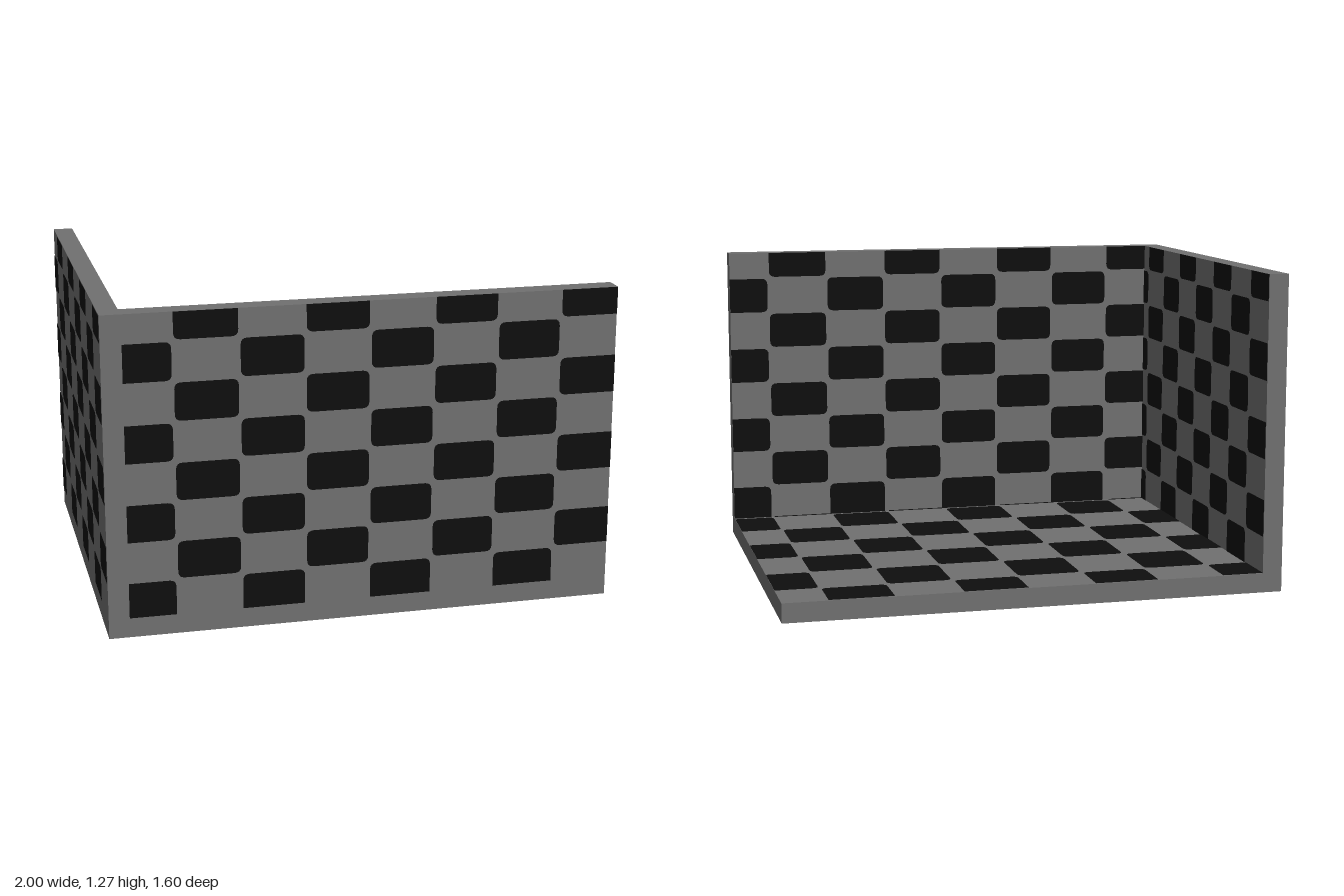
import * as THREE from 'three';

// Rectangle whose corners are rounded only where the tile is not cut by a panel edge
function tileShape(x0, y0, x1, y1, r, cut) {
  const s = new THREE.Shape();
  const bl = cut.left || cut.bottom ? 0 : r, br = cut.right || cut.bottom ? 0 : r;
  const tr = cut.right || cut.top ? 0 : r, tl = cut.left || cut.top ? 0 : r;
  s.moveTo(x0 + bl, y0);
  s.lineTo(x1 - br, y0);
  if (br) s.quadraticCurveTo(x1, y0, x1, y0 + br);
  s.lineTo(x1, y1 - tr);
  if (tr) s.quadraticCurveTo(x1, y1, x1 - tr, y1);
  s.lineTo(x0 + tl, y1);
  if (tl) s.quadraticCurveTo(x0, y1, x0, y1 - tl);
  s.lineTo(x0, y0 + bl);
  if (bl) s.quadraticCurveTo(x0, y0, x0 + bl, y0);
  return s;
}

// Flat checker of dark tiles, clipped to the panel area
function checker(area, start, pitch) {
  const [uMin, uMax, vMin, vMax] = area;
  const gap = 0.004, shapes = [];
  for (let j = 0; start[1] + j * pitch[1] < vMax; j++) {
    for (let i = j % 2; start[0] + i * pitch[0] < uMax; i += 2) {
      const u0 = start[0] + i * pitch[0] + gap, u1 = u0 + pitch[0] - 2 * gap;
      const v0 = start[1] + j * pitch[1] + gap, v1 = v0 + pitch[1] - 2 * gap;
      const a = Math.max(u0, uMin), b = Math.min(u1, uMax);
      const c = Math.max(v0, vMin), d = Math.min(v1, vMax);
      if (b - a < 0.005 || d - c < 0.005) continue;
      const r = Math.min(0.026, (b - a) / 2, (d - c) / 2);
      shapes.push(tileShape(a, c, b, d, r,
        { left: u0 < uMin, right: u1 > uMax, bottom: v0 < vMin, top: v1 > vMax }));
    }
  }
  return new THREE.ShapeGeometry(shapes, 4);
}

export function createModel() {
  const model = new THREE.Group();
  const grey = new THREE.MeshStandardMaterial({ name: 'panel grey', color: 0x707070 });
  const black = new THREE.MeshStandardMaterial({ name: 'tile black', color: 0x0e0e0e });

  const H = 1.27, T = 0.08, E = 0.002;

  // Panel from its minimum and maximum corners
  function panel(name, min, max) {
    const size = max.map((m, k) => m - min[k]);
    const mesh = new THREE.Mesh(new THREE.BoxGeometry(...size), grey);
    mesh.name = name;
    mesh.position.set(...max.map((m, k) => (m + min[k]) / 2));
    model.add(mesh);
  }
  panel('floor', [-1, E, -0.8], [1, T, 0.8]);
  panel('sideWall', [-1, T, -0.8], [-1 + T, H, 0.8]);
  panel('frontWall', [-1 + T, T, 0.8 - T], [1, H, 0.8]);

  // Tile layers laid on the faces of each panel
  function tiles(name, area, start, pitch, position, rotation) {
    const mesh = new THREE.Mesh(checker(area, start, pitch), black);
    mesh.name = name;
    mesh.position.set(...position);
    mesh.rotation.set(...rotation);
    model.add(mesh);
  }
  const Q = Math.PI / 2;
  tiles('frontWallOuterTiles', [-0.92, 1, T, H], [-0.985, 0.068], [0.251, 0.156], [0, 0, 0.8 + E], [0, 0, 0]);
  tiles('frontWallInnerTiles', [-1, 0.92, T, H], [-1.09, 0.068], [0.26, 0.156], [0, 0, 0.72 - E], [0, 2 * Q, 0]);
  tiles('sideWallOuterTiles', [-0.8, 0.8, T, H], [-0.86, 0.068], [0.21, 0.156], [-1 - E, 0, 0], [0, -Q, 0]);
  tiles('sideWallInnerTiles', [-0.72, 0.8, T, H], [-0.86, 0.068], [0.21, 0.156], [-0.92 + E, 0, 0], [0, Q, 0]);
  tiles('floorTopTiles', [-0.92, 1, -0.72, 0.8], [-1.012, -0.963], [0.2625, 0.263], [0, T + E, 0], [-Q, 0, 0]);
  tiles('floorBottomTiles', [-1, 1, -0.8, 0.8], [-1.012, -0.963], [0.2625, 0.263], [0, 0, 0], [Q, 0, 0]);

  return model;
}
